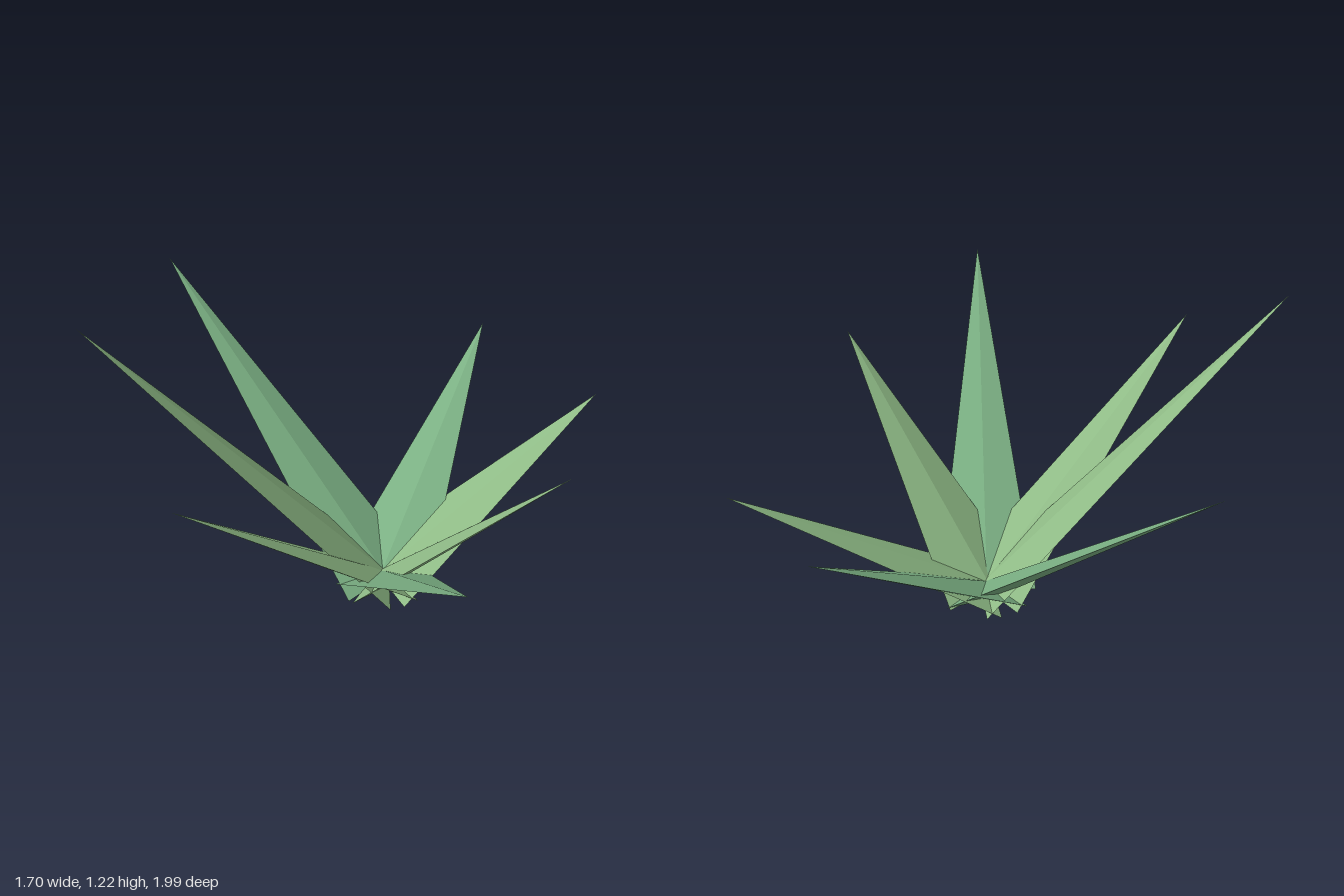
import * as THREE from 'three';

const BASE = new THREE.Vector3(0.13, 0.025, -0.09); // shared root of all leaves
const HALF_WIDTH = 0.183;
const HALF_THICKNESS = 0.035;

const yellowGreen = new THREE.MeshStandardMaterial({ color: 0x8fbb86, flatShading: true });
const blueGreen = new THREE.MeshStandardMaterial({ color: 0x7bb083, flatShading: true });

// Flattened four-sided spike from the root to a tip, its wide sides kept level
function makeLeaf(tip, material) {
  const axis = tip.clone().sub(BASE);
  const length = axis.length();
  axis.normalize();
  const side = new THREE.Vector3(axis.z, 0, -axis.x).normalize();
  const face = side.clone().cross(axis);

  const geometry = new THREE.ConeGeometry(1, 1, 4);
  geometry.translate(0, 0.5, 0);
  geometry.scale(HALF_WIDTH, length, HALF_THICKNESS);

  const leaf = new THREE.Mesh(geometry, material);
  leaf.quaternion.setFromRotationMatrix(new THREE.Matrix4().makeBasis(side, axis, face));
  leaf.position.copy(BASE);
  return leaf;
}

export function createModel() {
  const plant = new THREE.Group();
  plant.name = 'spikyPlant';

  // Leaf tips, going round the rosette
  const leaves = [
    [0.36, 0.67, -1.0, blueGreen],
    [0.845, 0.612, -0.65, yellowGreen],
    [0.81, 0.842, 0.245, yellowGreen],
    [0.57, 0.925, 0.995, blueGreen],
    [-0.385, 0.878, 0.74, yellowGreen],
    [-0.832, 1.212, 0.278, yellowGreen],
    [-0.85, 0.98, -0.703, blueGreen],
  ];
  leaves.forEach(([x, y, z, material], i) => {
    const leaf = makeLeaf(new THREE.Vector3(x, y, z), material);
    leaf.name = `leaf${i + 1}`;
    plant.add(leaf);
  });
  return plant;
}
